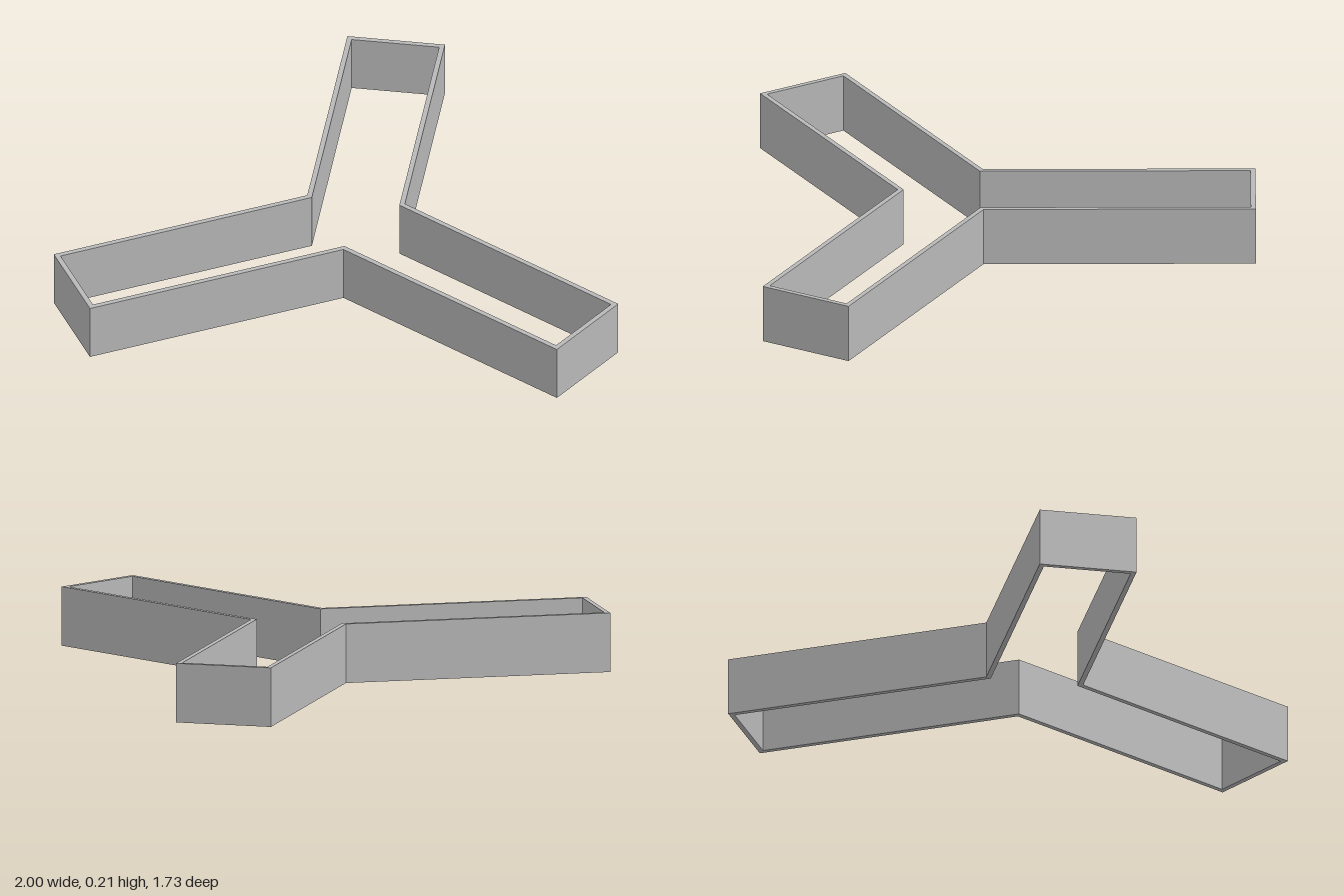
import * as THREE from 'three';

const HALF_WIDTH = 0.173, REACH = 1.0548, HEIGHT = 0.21, WALL = 0.018;

// Three-armed outline: each arm adds its two end corners and the inner corner after it
function outline(halfWidth, reach) {
  const points = [];
  for (let i = 0; i < 3; i++) {
    const a = Math.PI / 2 + (i * Math.PI * 2) / 3;
    const dx = Math.cos(a), dy = Math.sin(a);
    for (const side of [-1, 1]) {
      points.push(new THREE.Vector2(
        dx * reach - dy * side * halfWidth,
        dy * reach + dx * side * halfWidth));
    }
    const r = halfWidth / Math.sin(Math.PI / 3), b = a + Math.PI / 3;
    points.push(new THREE.Vector2(Math.cos(b) * r, Math.sin(b) * r));
  }
  return points;
}

export function createModel() {
  const model = new THREE.Group();
  const grey = new THREE.MeshStandardMaterial({ color: 0xb8b8b8 });
  grey.name = 'grey';

  // Open wall ring, the inner outline inset by the wall thickness
  const shape = new THREE.Shape(outline(HALF_WIDTH, REACH));
  shape.holes.push(new THREE.Path(outline(HALF_WIDTH - WALL, REACH - WALL)));
  const geometry = new THREE.ExtrudeGeometry(shape, { depth: HEIGHT, bevelEnabled: false });
  geometry.rotateX(-Math.PI / 2);
  // Centre the three-armed plan front to back
  geometry.computeBoundingBox();
  const { min, max } = geometry.boundingBox;
  geometry.translate(0, 0, -(min.z + max.z) / 2);

  const wall = new THREE.Mesh(geometry, grey);
  wall.name = 'threeArmedWall';
  model.add(wall);
  return model;
}
